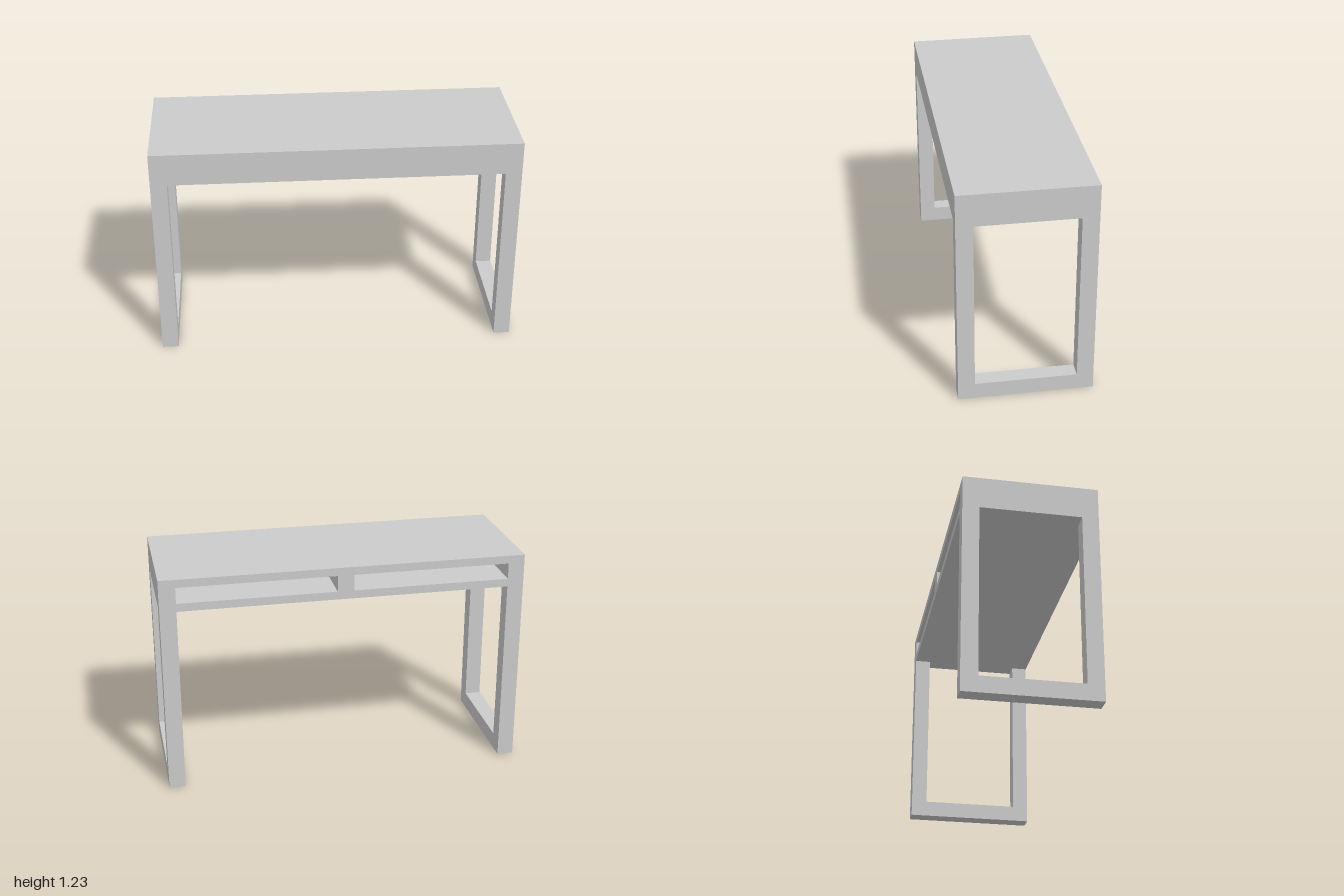
import * as THREE from 'three';

const W = 2, H = 1.227, D = 0.727;  // overall size
const BAR = 0.09, BOARD = 0.045;    // frame bar and board thickness
const UNDER = 1.048;                // underside of the table top

const material = new THREE.MeshStandardMaterial({ color: 0xcccccc, flatShading: true });

function polygon(points, Type = THREE.Shape) {
  return new Type(points.map(([x, y]) => new THREE.Vector2(x, y)));
}

function rect(x0, y0, x1, y1, Type) {
  return polygon([[x0, y0], [x1, y0], [x1, y1], [x0, y1]], Type);
}

function addMesh(group, name, geometry) {
  const mesh = new THREE.Mesh(geometry, material);
  mesh.name = name;
  group.add(mesh);
  return mesh;
}

export function createModel() {
  const desk = new THREE.Group();
  desk.name = 'desk';

  // Hollow top: two storage slots open to the back, split by a divider
  const profile = rect(-W / 2, UNDER, W / 2, H);
  for (const side of [-1, 1]) {
    const a = side * BAR / 2, b = side * (W / 2 - BAR);
    profile.holes.push(rect(Math.min(a, b), UNDER + BOARD, Math.max(a, b), H - BOARD, THREE.Path));
  }
  const topGeometry = new THREE.ExtrudeGeometry(profile, { depth: D - BOARD, bevelEnabled: false });
  addMesh(desk, 'tableTop', topGeometry).position.z = -D / 2;

  // Solid panel closing the slots at the front
  const front = addMesh(desk, 'frontPanel', new THREE.BoxGeometry(W, H - UNDER, BOARD));
  front.position.set(0, (H + UNDER) / 2, D / 2 - BOARD / 2);

  // U-shaped leg frame under each end
  const o = D / 2, i = D / 2 - BAR;
  const legShape = polygon([
    [-o, 0], [o, 0], [o, UNDER], [i, UNDER], [i, BAR], [-i, BAR], [-i, UNDER], [-o, UNDER],
  ]);
  const legGeometry = new THREE.ExtrudeGeometry(legShape, { depth: BAR, bevelEnabled: false });
  legGeometry.translate(0, 0, -BAR / 2).rotateY(Math.PI / 2);
  for (const [name, side] of [['leftLegFrame', 1], ['rightLegFrame', -1]]) {
    addMesh(desk, name, legGeometry).position.x = side * (W / 2 - BAR / 2);
  }

  return desk;
}
